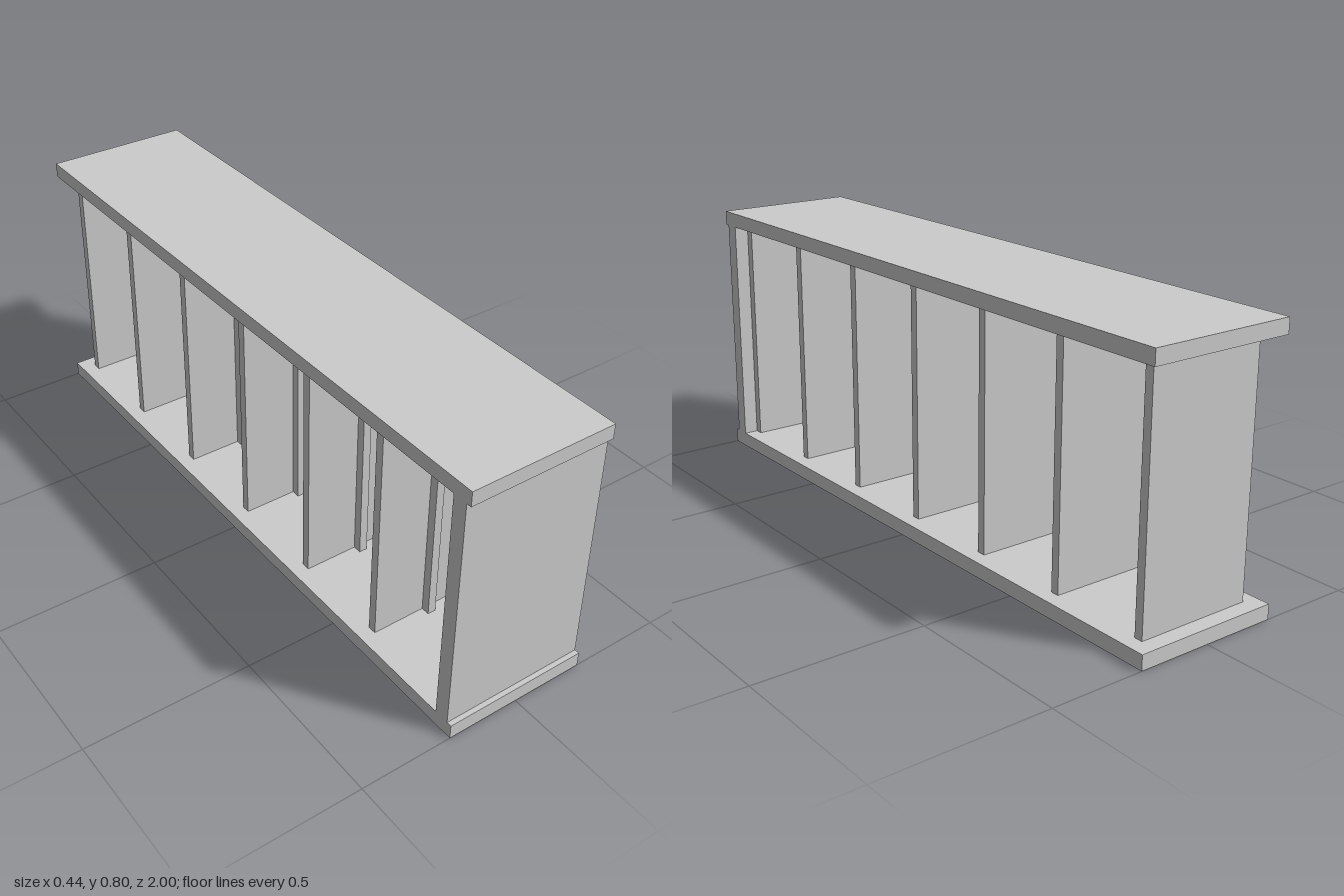
import * as THREE from 'three';

export function createModel() {
  const group = new THREE.Group();
  const material = new THREE.MeshStandardMaterial({ color: 0xcccccc, flatShading: true });

  const width = 0.443, height = 0.8, plate = 0.044;
  const inner = height - 2 * plate;

  function box(name, w, h, d, x, y, z) {
    const mesh = new THREE.Mesh(new THREE.BoxGeometry(w, h, d), material);
    mesh.name = name;
    mesh.position.set(x, y, z);
    group.add(mesh);
  }

  // Base and top boards
  box('baseBoard', width, plate, 2, 0, plate / 2, 0);
  box('topBoard', width, plate, 2, 0, height - plate / 2, 0);

  // Full-width panel closing the front end
  box('frontPanel', width, inner, 0.045, 0, height / 2, 0.9625);

  // Evenly spaced, inset dividers, each with a slim post in front of it
  const thickness = 0.026, spacing = 0.311;
  for (let i = 0; i < 7; i++) {
    const back = 0.914 - i * spacing;
    box('divider', 0.354, inner, thickness, 0, height / 2, back + thickness / 2);
    if (i > 0) box('dividerPost', 0.025, inner, thickness, 0, height / 2, back + thickness * 1.5);
  }
  return group;
}
